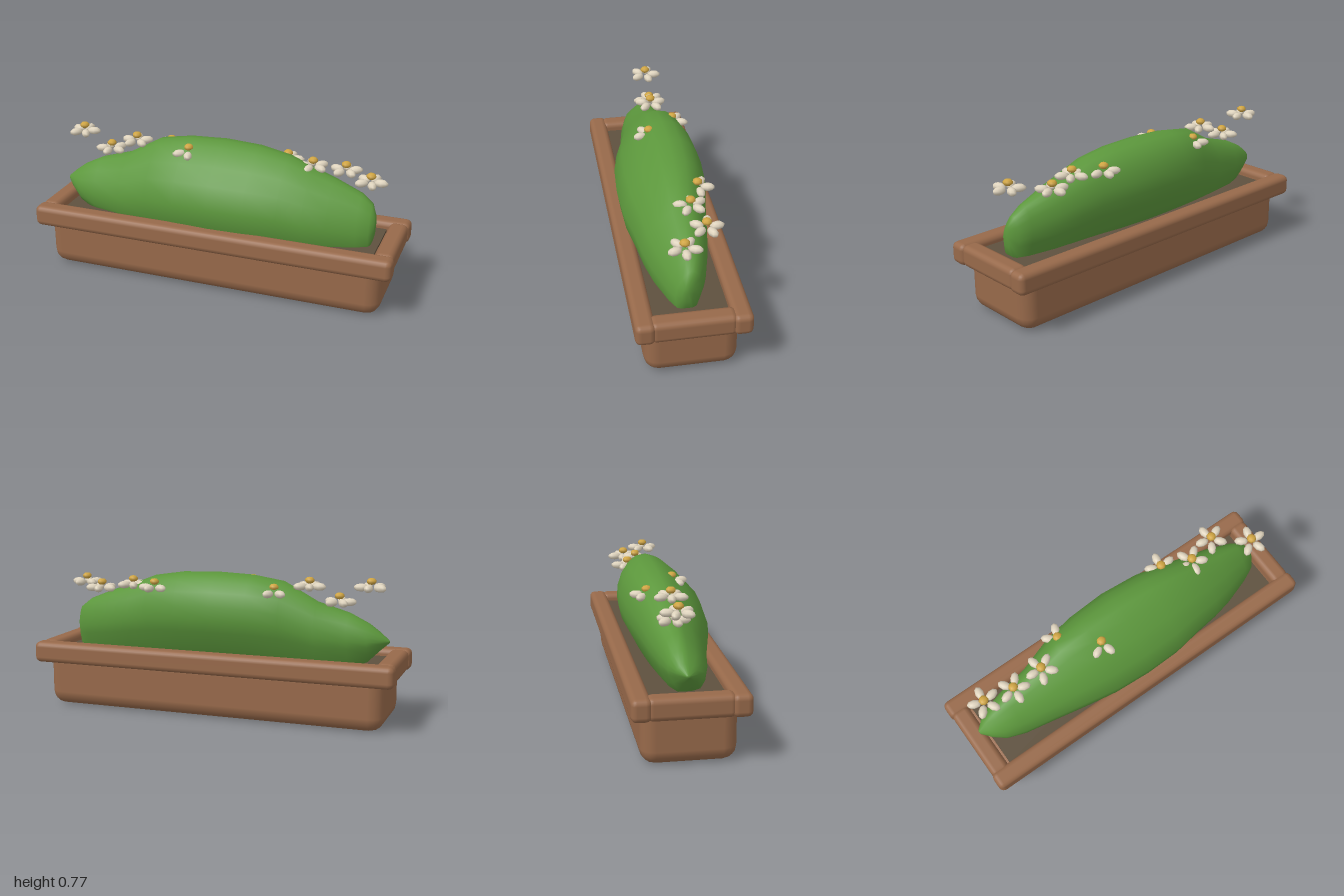
import * as THREE from 'three';
import { RoundedBoxGeometry } from 'three/addons/geometries/RoundedBoxGeometry.js';

const mat = (name, color) => {
  const m = new THREE.MeshStandardMaterial({ color });
  m.name = name;
  return m;
};

function addMesh(parent, name, geometry, material, x = 0, y = 0, z = 0) {
  const mesh = new THREE.Mesh(geometry, material);
  mesh.name = name;
  mesh.position.set(x, y, z);
  parent.add(mesh);
  return mesh;
}

// Leaning cross-section of the bush as [across, up], with across in -1..1 and up in 0..1
const SECTION = [
  [0.92, 0.21], [1, 0.43], [0.81, 0.66], [0.47, 0.82], [0.07, 0.965], [-0.21, 1],
  [-0.49, 0.98], [-0.71, 0.92], [-0.88, 0.82], [-0.99, 0.68], [-1, 0.54],
  [-0.93, 0.41], [-0.69, 0.21], [-0.4, 0], [0.3, 0], [0.72, 0.06],
];

// Stations along the bush: x, bottom, top, back z, front z
const STATIONS = [
  [-0.925, 0.43, 0.445, -0.02, 0.0],
  [-0.88, 0.39, 0.485, -0.06, 0.05],
  [-0.82, 0.33, 0.53, -0.09, 0.09],
  [-0.72, 0.28, 0.58, -0.115, 0.12],
  [-0.55, 0.25, 0.63, -0.14, 0.15],
  [-0.37, 0.25, 0.73, -0.185, 0.195],
  [-0.2, 0.25, 0.757, -0.21, 0.228],
  [0, 0.25, 0.765, -0.22, 0.242],
  [0.2, 0.25, 0.757, -0.205, 0.236],
  [0.37, 0.25, 0.73, -0.17, 0.205],
  [0.5, 0.25, 0.68, -0.15, 0.185],
  [0.62, 0.25, 0.64, -0.13, 0.155],
  [0.77, 0.26, 0.58, -0.09, 0.1],
  [0.83, 0.28, 0.535, -0.06, 0.07],
  [0.853, 0.37, 0.48, -0.02, 0.04],
];

function bushGeometry() {
  const positions = [];
  const index = [];
  const n = SECTION.length;
  const last = STATIONS.length - 1;
  for (const [x, bottom, top, back, front] of STATIONS) {
    for (const [across, up] of SECTION) {
      positions.push(x, bottom + up * (top - bottom), (front + back) / 2 + across * (front - back) / 2);
    }
  }
  for (let s = 0; s < last; s++) {
    for (let i = 0; i < n; i++) {
      const a = s * n + i;
      const b = s * n + (i + 1) % n;
      index.push(a, a + n, b, b, a + n, b + n);
    }
  }
  // Close both ends with a fan
  for (const s of [0, last]) {
    const [x, bottom, top, back, front] = STATIONS[s];
    const centre = positions.length / 3;
    positions.push(x, (bottom + top) / 2, (back + front) / 2);
    for (let i = 0; i < n; i++) {
      const a = s * n + i;
      const b = s * n + (i + 1) % n;
      if (s === 0) index.push(centre, a, b);
      else index.push(centre, b, a);
    }
  }
  const g = new THREE.BufferGeometry();
  g.setAttribute('position', new THREE.Float32BufferAttribute(positions, 3));
  g.setIndex(index);
  g.computeVertexNormals();
  return g;
}

// Flowers: x, petal height, z, turn in degrees
const FLOWERS = [
  [-0.83, 0.718, -0.042, 59],
  [-0.665, 0.635, -0.04, 20],
  [-0.5, 0.707, -0.022, 40],
  [-0.335, 0.675, -0.118, 2],
  [-0.17, 0.7, 0.038, 3],
  [0.335, 0.675, -0.13, -7],
  [0.49, 0.677, -0.065, 30],
  [0.657, 0.658, -0.113, 49],
  [0.82, 0.668, 0.025, 0],
];

export function createModel() {
  const model = new THREE.Group();
  model.name = 'flowerPlanter';
  const clay = mat('terracotta', 0x97694a);
  const earth = mat('soil', 0x5e503e);
  const leaf = mat('leafGreen', 0x5c973c);
  const white = mat('petalCream', 0xded3bd);
  const gold = mat('flowerGold', 0xd0a542);

  // Trough with rounded corners
  addMesh(model, 'trough', new RoundedBoxGeometry(1.88, 0.31, 0.47, 2, 0.075), clay, 0, 0.155, 0);

  // Rim: two long rails and two short ones between them
  const longRail = new RoundedBoxGeometry(2, 0.115, 0.1, 2, 0.03);
  const shortRail = new RoundedBoxGeometry(0.1, 0.115, 0.42, 2, 0.03);
  for (const side of [-1, 1]) {
    addMesh(model, side > 0 ? 'frontRail' : 'backRail', longRail, clay, 0, 0.3025, side * 0.237);
    addMesh(model, side > 0 ? 'leftRail' : 'rightRail', shortRail, clay, side * 0.943, 0.3025, 0);
  }

  // Soil bed
  addMesh(model, 'soil', new THREE.BoxGeometry(1.76, 0.08, 0.37), earth, 0, 0.28, 0);

  // Long leafy mound
  addMesh(model, 'bush', bushGeometry(), leaf);

  // Five-petalled flowers
  const petal = new THREE.SphereGeometry(1, 8, 5).scale(0.038, 0.021, 0.023);
  const heart = new THREE.SphereGeometry(1, 8, 5).scale(0.026, 0.018, 0.026);
  for (const [x, y, z, turn] of FLOWERS) {
    const flower = new THREE.Group();
    flower.name = 'flower';
    flower.position.set(x, y, z);
    flower.rotation.y = -THREE.MathUtils.degToRad(turn);
    for (let i = 0; i < 5; i++) {
      const angle = (i / 5) * Math.PI * 2;
      const p = addMesh(flower, 'petal', petal, white, Math.cos(angle) * 0.052, 0, Math.sin(angle) * 0.052);
      p.rotation.y = -angle;
    }
    addMesh(flower, 'flowerCentre', heart, gold, 0, 0.032, 0);
    model.add(flower);
  }
  return model;
}
